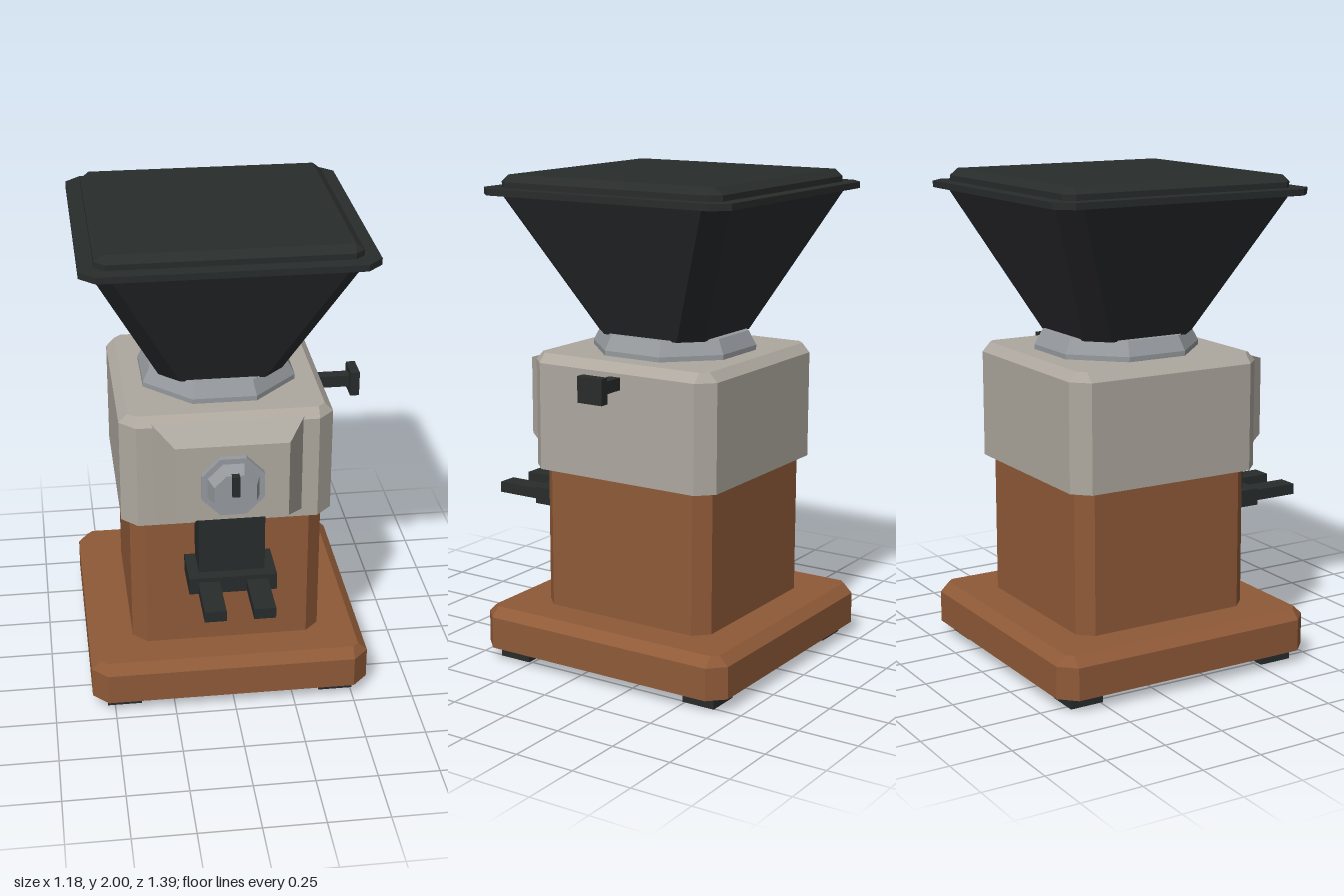
import * as THREE from 'three';

const mat = (color) => new THREE.MeshStandardMaterial({ color, flatShading: true });

// Stack of square sections with cut corners: each section is [y, halfWidth, cornerCut]
function loft(sections) {
  const pos = [];
  const rings = sections.map(([y, h, c]) => {
    const k = h - c;
    return [[h, k], [k, h], [-k, h], [-h, k], [-h, -k], [-k, -h], [k, -h], [h, -k]]
      .map(([x, z]) => [x, y, z]);
  });
  for (let r = 0; r < rings.length - 1; r++) {
    const a = rings[r], b = rings[r + 1];
    for (let i = 0; i < 8; i++) {
      const j = (i + 1) % 8;
      pos.push(...a[i], ...b[i], ...b[j], ...a[i], ...b[j], ...a[j]);
    }
  }
  const bottom = rings[0], top = rings[rings.length - 1];
  for (let i = 1; i < 7; i++) {
    pos.push(...bottom[0], ...bottom[i], ...bottom[i + 1]);
    pos.push(...top[0], ...top[i + 1], ...top[i]);
  }
  const g = new THREE.BufferGeometry();
  g.setAttribute('position', new THREE.Float32BufferAttribute(pos, 3));
  g.computeVertexNormals();
  return g;
}

// Octagonal section with flats facing the axes
const oct = (y, r) => [y, r, r * (2 - Math.SQRT2)];

// Box given by its limits on each axis
function box(x0, x1, y0, y1, z0, z1) {
  return new THREE.BoxGeometry(x1 - x0, y1 - y0, z1 - z0)
    .translate((x0 + x1) / 2, (y0 + y1) / 2, (z0 + z1) / 2);
}

export function createModel() {
  const model = new THREE.Group();
  model.name = 'coffeeGrinder';
  const wood = mat(0x8f5a38), shell = mat(0xaea89f), steel = mat(0x969a9e);
  const black = mat(0x282c2b), smoke = mat(0x2b2c2f);
  const add = (name, geometry, material) => {
    const m = new THREE.Mesh(geometry, material);
    m.name = name;
    model.add(m);
    return m;
  };

  // Feet, wooden base and body
  for (const sx of [-1, 1]) for (const sz of [-1, 1]) {
    add('foot', box(-0.071, 0.071, 0, 0.056, -0.071, 0.071), black)
      .position.set(sx * 0.448, 0, sz * 0.448);
  }
  add('base', loft([[0.055, 0.58, 0.064], [0.187, 0.58, 0.064], [0.225, 0.54, 0.024]]), wood);
  add('body', loft([[0.22, 0.395, 0.058], [0.815, 0.395, 0.058]]), wood);

  // Grinder head with sloped front housing
  add('head', loft([[0.81, 0.43, 0.064], [1.25, 0.43, 0.064], [1.287, 0.395, 0.029]]), shell);
  const housing = box(-0.32, 0.32, 0.83, 1.27, 0.393, 0.561);
  const p = housing.attributes.position;
  for (let i = 0; i < p.count; i++) {
    if (p.getZ(i) > 0.5) {
      p.setX(i, Math.sign(p.getX(i)) * 0.226);
      p.setY(i, p.getY(i) > 1 ? 1.22 : 0.895);
    }
  }
  housing.computeVertexNormals();
  add('frontHousing', housing, shell);

  // Adjusting dial
  const dialParts = [
    ['dialPlate', [oct(0, 0.124), oct(0.027, 0.124)]],
    ['dialKnob', [oct(0.027, 0.102), oct(0.088, 0.083)]],
  ];
  for (const [name, sections] of dialParts) {
    const m = add(name, loft(sections), steel);
    m.rotation.x = Math.PI / 2;
    m.position.set(0, 1.053, 0.561);
  }
  add('dialPointer', box(-0.015, 0.015, 1.053, 1.14, 0.64, 0.671), black);

  // Outlet chute and holder fork
  add('chute', box(-0.134, 0.134, 0.63, 0.93, 0.39, 0.543), black);
  add('forkPlate', box(-0.178, 0.178, 0.57, 0.642, 0.39, 0.59), black);
  for (const s of [-1, 1]) {
    add('forkProng', box(-0.0435, 0.0435, 0.577, 0.623, 0.56, 0.808), black).position.x = s * 0.098;
  }

  // Side lever
  add('leverRod', box(0.42, 0.57, 1.185, 1.235, -0.025, 0.025), black);
  add('leverKnob', box(0.562, 0.6, 1.157, 1.262, -0.057, 0.057), black);

  // Collar, hopper and lid
  add('collar', loft([oct(1.28, 0.312), oct(1.307, 0.312), oct(1.366, 0.283)]), steel);
  add('hopper', loft([[1.36, 0.252, 0.08], [1.926, 0.53, 0.075]]), smoke);
  add('hopperRim', loft([[1.924, 0.57, 0.062], [1.95, 0.57, 0.062]]), black);
  add('lid', loft([[1.948, 0.509, 0.038], [1.973, 0.509, 0.038], [2, 0.475, 0.004]]), black);

  model.position.set(-0.012, 0, -0.113);
  const root = new THREE.Group();
  root.name = 'grinder';
  root.add(model);
  return root;
}
